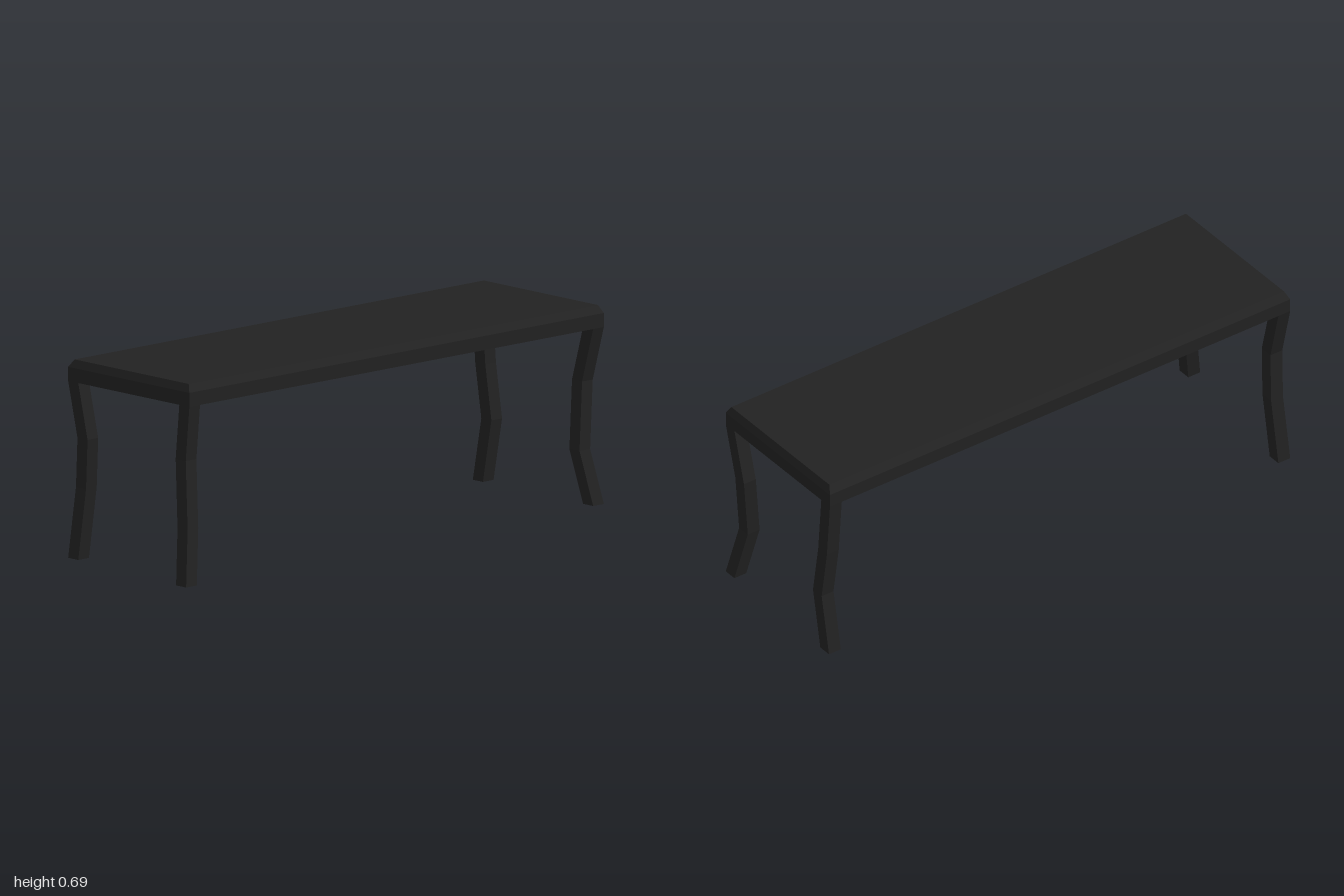
import * as THREE from 'three';

// Solid lofted through axis-aligned rectangles [y, xMin, xMax, zMin, zMax], bottom to top
function loftRects(sections) {
  const rings = sections.map(([y, x0, x1, z0, z1]) => [
    [x0, y, z1], [x1, y, z1], [x1, y, z0], [x0, y, z0],
  ]);
  const positions = [];
  const quad = (a, b, c, d) => positions.push(...a, ...b, ...c, ...a, ...c, ...d);
  for (let i = 0; i < rings.length - 1; i++) {
    const lower = rings[i], upper = rings[i + 1];
    for (let j = 0; j < 4; j++) {
      const k = (j + 1) % 4;
      quad(lower[j], lower[k], upper[k], upper[j]);
    }
  }
  const first = rings[0], last = rings[rings.length - 1];
  quad(first[3], first[2], first[1], first[0]);
  quad(last[0], last[1], last[2], last[3]);
  const geometry = new THREE.BufferGeometry();
  geometry.setAttribute('position', new THREE.Float32BufferAttribute(positions, 3));
  geometry.computeVertexNormals();
  return geometry;
}

export function createModel() {
  const model = new THREE.Group();
  model.name = 'bench';
  const black = new THREE.MeshStandardMaterial({ color: 0x222222 });
  black.name = 'charcoal';

  const add = (name, sections) => {
    const mesh = new THREE.Mesh(loftRects(sections), black);
    mesh.name = name;
    model.add(mesh);
  };

  // Slab with a chamfered upper edge
  add('top', [
    [0.616, -0.95, 0.995, -0.318, 0.283],
    [0.665, -0.95, 0.995, -0.318, 0.283],
    [0.692, -0.938, 0.983, -0.299, 0.267],
  ]);

  // Each leg is a square post bent through centre points [y, x, z]
  const half = 0.025;
  const legs = {
    frontLeftLeg: [
      [0, 0.97, 0.258], [0.19, 0.94, 0.222], [0.425, 0.97, 0.203], [0.616, 0.97, 0.258],
    ],
    frontRightLeg: [
      [0, -0.975, 0.295], [0.19, -0.938, 0.263], [0.425, -0.925, 0.24], [0.616, -0.925, 0.258],
    ],
    backLeftLeg: [
      [0, 0.974, -0.293], [0.22, 0.975, -0.252], [0.41, 0.974, -0.281], [0.616, 0.97, -0.293],
    ],
    backRightLeg: [
      [0, -0.925, -0.293], [0.25, -0.914, -0.266], [0.425, -0.925, -0.247], [0.616, -0.925, -0.293],
    ],
  };
  for (const [name, path] of Object.entries(legs)) {
    add(name, path.map(([y, x, z]) => [y, x - half, x + half, z - half, z + half]));
  }

  return model;
}
